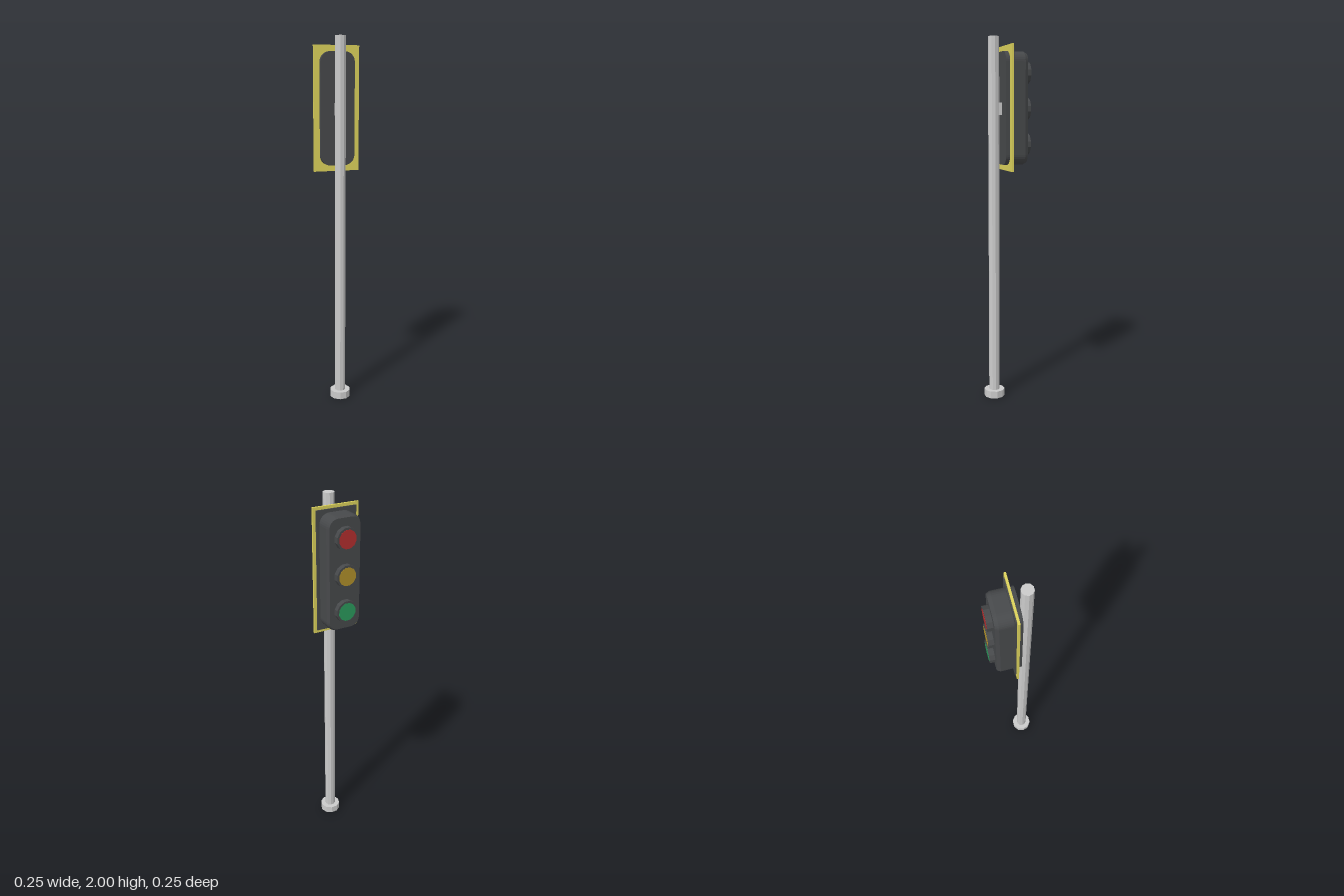
import * as THREE from 'three';

const POLE_Z = 0.07;
const MID_Y = 1.622;

const material = (color) => new THREE.MeshStandardMaterial({ color, flatShading: true });

function roundedRect(w, h, r) {
  const s = new THREE.Shape();
  const x = w / 2, y = h / 2;
  s.absarc(x - r, y - r, r, 0, Math.PI / 2);
  s.absarc(-x + r, y - r, r, Math.PI / 2, Math.PI);
  s.absarc(-x + r, -y + r, r, Math.PI, Math.PI * 1.5);
  s.absarc(x - r, -y + r, r, Math.PI * 1.5, Math.PI * 2);
  s.closePath();
  return s;
}

export function createModel() {
  const group = new THREE.Group();
  const grey = material(0xcccccc);
  const dark = material(0x47494b);
  const yellow = material(0xddd35c);

  const add = (name, geometry, mat, x, y, z) => {
    const mesh = new THREE.Mesh(geometry, mat);
    mesh.name = name;
    mesh.position.set(x, y, z);
    group.add(mesh);
    return mesh;
  };

  // Ten-sided post and foot, with a flat side facing the front
  const post = (r, h) => new THREE.CylinderGeometry(r, r, h, 10).rotateY(Math.PI / 10);
  add('pole', post(0.03, 1.96), grey, 0, 1.02, POLE_Z);
  add('poleBase', post(0.057, 0.04), grey, 0, 0.02, POLE_Z);

  // Bracket between post and signal head
  add('bracket', new THREE.BoxGeometry(0.038, 0.065, 0.03), grey, 0, MID_Y, 0.04);

  // Backing board with a yellow border and dark inner panel
  add('backBoard', new THREE.BoxGeometry(0.255, 0.665, 0.011), yellow, 0, MID_Y, 0.0025);
  add('backBoardPanel', new THREE.BoxGeometry(0.224, 0.634, 0.007), dark, 0, MID_Y, -0.0055);

  // Housing with rounded corners and a chamfered lamp face
  const body = new THREE.ExtrudeGeometry(roundedRect(0.19, 0.6, 0.055), {
    depth: 0.108, bevelEnabled: false, curveSegments: 4,
  });
  add('housing', body, dark, 0, MID_Y, -0.078);
  const face = new THREE.ExtrudeGeometry(roundedRect(0.19, 0.6, 0.055), {
    depth: 0.001, bevelThickness: 0.017, bevelSize: 0.009, bevelOffset: -0.009,
    bevelSegments: 1, curveSegments: 4,
  }).rotateY(Math.PI);
  add('housingFace', face, dark, 0, MID_Y, -0.077);

  // Three lamps: a dark collar with a coloured lens
  const disc = (r, depth) =>
    new THREE.CylinderGeometry(r, r, depth, 12).rotateY(Math.PI / 12).rotateX(-Math.PI / 2);
  const lamps = [['red', 0xb32f2f, 1.813], ['amber', 0xb0902a, 1.622], ['green', 0x2a9a5c, 1.432]];
  for (const [name, color, y] of lamps) {
    add(name + 'Collar', disc(0.06, 0.034), dark, 0, y, -0.106);
    add(name + 'Lens', disc(0.049, 0.006), material(color), 0, y, -0.121);
  }

  return group;
}
